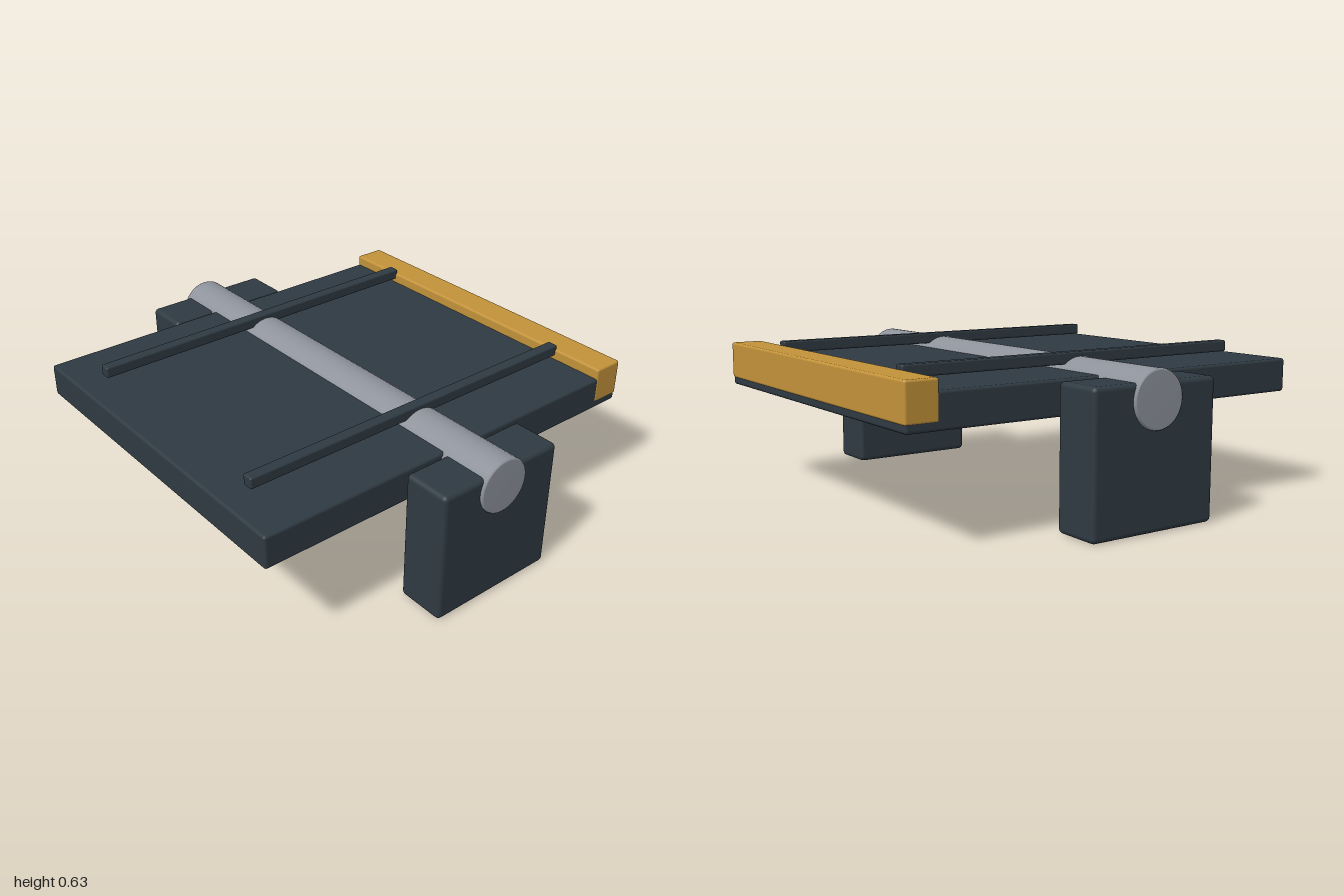
import * as THREE from 'three';
import { RoundedBoxGeometry } from 'three/addons/geometries/RoundedBoxGeometry.js';

export function createModel() {
  const group = new THREE.Group();
  const mat = (name, color) => {
    const m = new THREE.MeshStandardMaterial({ color });
    m.name = name;
    return m;
  };
  const dark = mat('dark slate', 0x2f3a42);
  const steel = mat('steel grey', 0x8d929b);
  const gold = mat('ochre gold', 0xc2923a);

  const add = (name, geometry, material, x, y, z) => {
    const mesh = new THREE.Mesh(geometry, material);
    mesh.name = name;
    mesh.position.set(x, y, z);
    group.add(mesh);
    return mesh;
  };
  const box = (name, material, w, h, d, r, x, y, z) =>
    add(name, new RoundedBoxGeometry(w, h, d, 3, r), material, x, y, z);

  // Flat deck
  box('deck', dark, 1.84, 0.14, 1.54, 0.012, 0, 0.5, 0);

  // Axle through the deck and both supports, with softened end rims
  const profile = [[0, -1], [0.107, -1], [0.112, -0.998], [0.115, -0.992],
    [0.115, 0.992], [0.112, 0.998], [0.107, 1], [0, 1]]
    .map(([r, y]) => new THREE.Vector2(r, y));
  add('axle', new THREE.LatheGeometry(profile, 40), steel, 0, 0.5, 0).rotation.x = Math.PI / 2;

  for (const s of [1, -1]) {
    // Support blocks at each end of the axle
    box(s > 0 ? 'frontSupport' : 'backSupport', dark, 0.585, 0.565, 0.208, 0.02, 0, 0.2825, s * 0.883);
    // Thin crossbars above the deck
    box(s > 0 ? 'frontCrossbar' : 'backCrossbar', dark, 1.605, 0.048, 0.048, 0.008, -0.005, 0.61, s * 0.513);
  }

  // Coloured edge rail on the left side
  box('edgeRail', gold, 0.137, 0.155, 1.544, 0.01, 0.8545, 0.5375, 0);

  return group;
}
